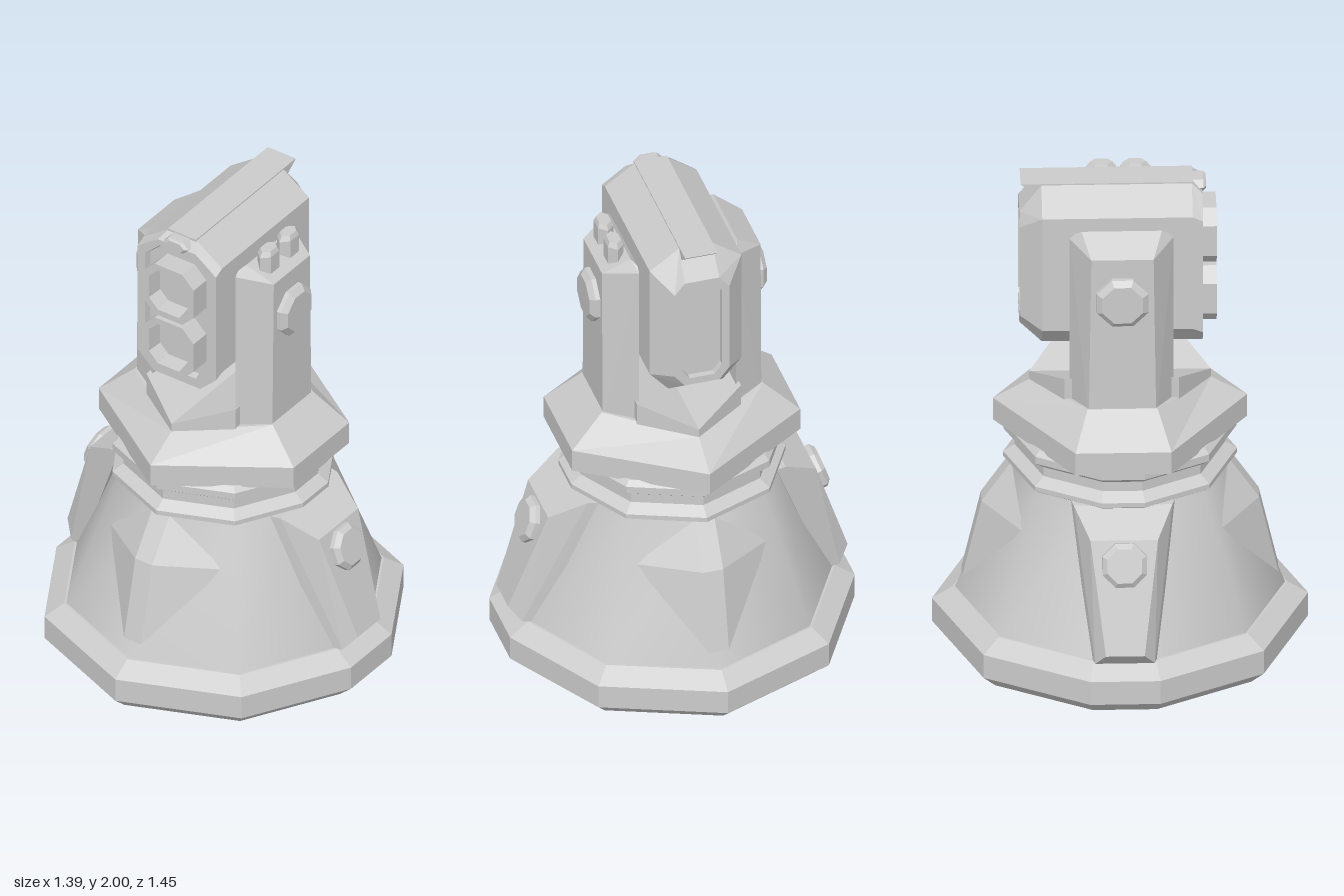
import * as THREE from 'three';
import { toCreasedNormals } from 'three/addons/utils/BufferGeometryUtils.js';
import { ConvexGeometry } from 'three/addons/geometries/ConvexGeometry.js';

const flat = new THREE.MeshStandardMaterial({ color: 0xcccccc, flatShading: true });
const smooth = new THREE.MeshStandardMaterial({ color: 0xcccccc });

// Closed loft through rings of equal point count; faces are turned outwards by signed volume
function loft(rings) {
  const tris = [];
  const n = rings[0].length;
  for (let i = 0; i < rings.length - 1; i++) {
    for (let j = 0; j < n; j++) {
      const k = (j + 1) % n;
      const [a, b, c, d] = [rings[i][j], rings[i][k], rings[i + 1][k], rings[i + 1][j]];
      tris.push([a, b, c], [a, c, d]);
    }
  }
  const last = rings[rings.length - 1];
  for (let j = 1; j < n - 1; j++) {
    tris.push([rings[0][0], rings[0][j + 1], rings[0][j]], [last[0], last[j], last[j + 1]]);
  }
  const v = (p) => new THREE.Vector3(...p);
  const volume = tris.reduce((s, [a, b, c]) => s + v(a).dot(v(b).cross(v(c))), 0);
  if (volume < 0) tris.forEach((t) => t.reverse());
  const geo = new THREE.BufferGeometry();
  geo.setAttribute('position', new THREE.Float32BufferAttribute(tris.flat(2), 3));
  geo.computeVertexNormals();
  return geo;
}

const hull = (pts) => new ConvexGeometry(pts.map((p) => new THREE.Vector3(...p)));
// Points given for +z, repeated at -z
const bothZ = (pts) => pts.flatMap(([x, y, z]) => [[x, y, z], [x, y, -z]]);

// Ten-sided plan shared by plinth, body and collar
const plan = [[0, 0.725], [0.465, 0.54], [0.695, 0.135], [0.695, -0.135], [0.465, -0.54],
  [0, -0.725], [-0.465, -0.54], [-0.695, -0.135], [-0.695, 0.135], [-0.465, 0.54]];
const planRing = (y, s) => plan.map(([x, z]) => [x * s, y, z * s]);

// Regular ring around y
const ring = (n, r, y) => Array.from({ length: n }, (_, i) => {
  const a = ((i + 0.5) / n) * Math.PI * 2;
  return [r * Math.cos(a), y, r * Math.sin(a)];
});

// Eight-cornered section in the xy plane: half width, top and bottom half widths, corner height
const oct = (hx, tx, bx, y0, y1, cy, z) => [
  [bx, y0, z], [hx, y0 + cy, z], [hx, y1 - cy, z], [tx, y1, z],
  [-tx, y1, z], [-hx, y1 - cy, z], [-hx, y0 + cy, z], [-bx, y0, z]];

// Bevelled round boss along +y
const boss = (r, h) => loft([ring(8, r, -0.04), ring(8, r, h * 0.5), ring(8, r * 0.78, h)]);

export function createModel() {
  const model = new THREE.Group();
  const add = (name, geo, parent = model, mat = flat) => {
    const mesh = new THREE.Mesh(geo, mat);
    mesh.name = name;
    parent.add(mesh);
    return mesh;
  };

  // Plinth and tapering body
  add('plinth', loft([planRing(0, 0.915), planRing(0.055, 1), planRing(0.155, 1), planRing(0.205, 0.89)]));
  add('body', toCreasedNormals(loft([planRing(0.19, 0.885), planRing(0.77, 0.58)]), 0.75), model, smooth);

  // Ridges on front and back
  for (const s of [1, -1]) {
    const pts = [0.04, -0.04].flatMap((x) => [[x, 0.77, 0.42], [x, 0.6, 0.535], [x, 0.27, 0.61]]);
    pts.push([0.27, 0.585, 0.38], [-0.27, 0.585, 0.38], [0, 0.55, 0.3]);
    add(s > 0 ? 'frontRidge' : 'backRidge', hull(pts)).rotation.y = s > 0 ? 0 : Math.PI;
  }

  // Grooved collar
  add('collar', loft([[0.765, 0.6], [0.775, 0.622], [0.795, 0.622], [0.825, 0.56], [0.865, 0.56],
    [0.895, 0.62], [0.925, 0.62], [0.945, 0.59]].map(([y, s]) => planRing(y, s))));

  // Six-sided turntable
  const hex = (y, x, z, zs, yz = y) => [[0, yz, z], [x, y, zs], [x, y, -zs], [0, yz, -z], [-x, y, -zs], [-x, y, zs]];
  add('turntable', loft([hex(0.935, 0.46, 0.49, 0.185), hex(1.03, 0.46, 0.49, 0.185),
    hex(1.15, 0.325, 0.35, 0.135, 1.11)]));

  // Parts repeated on both sides, turned half round for the right
  for (const s of [1, -1]) {
    const side = new THREE.Group();
    side.name = s > 0 ? 'leftSide' : 'rightSide';
    side.rotation.y = s > 0 ? 0 : Math.PI;
    model.add(side);

    add('sidePlate', hull(bothZ([
      [0.64, 0.205, 0.115], [0.685, 0.26, 0.075], [0.575, 0.585, 0.11], [0.54, 0.69, 0.13], [0.4, 0.77, 0.19],
      [0.58, 0.205, 0.13], [0.46, 0.57, 0.17], [0.36, 0.77, 0.2]])), side);
    const plateBoss = add('plateBoss', boss(0.093, 0.035), side);
    plateBoss.position.set(0.572, 0.6, 0);
    plateBoss.rotation.z = -Math.atan2(0.43, 0.145);

    // Sloping half of the saddle between the arms
    add('saddle', loft([[0, 1.145, 0.35], [0.21, 1.222, 0.22]].map(([x, y, z]) =>
      [[x, 1.09, z], [x, y, z], [x, y, -z], [x, 1.09, -z]])), side);

    // Yoke arm with pivot bosses
    add('yokeArm', hull(bothZ([
      [0.195, 1.1, 0.2], [0.32, 1.1, 0.13], [0.195, 1.83, 0.2], [0.195, 1.85, 0.18],
      [0.215, 1.87, 0.155], [0.32, 1.8, 0.12]])), side);
    const pivot = add('pivotBoss', boss(0.108, 0.04), side);
    pivot.position.set(0.318, 1.62, 0);
    pivot.rotation.z = -Math.PI / 2;
    const axle = add('axle', boss(0.105, 0.03), side);
    axle.position.set(0.18, 1.62, 0);
    axle.rotation.z = -Math.PI / 2;
  }

  // Pair of small posts on the left arm
  for (const z of [0.065, -0.065]) {
    const post = add('armPost', loft([ring(6, 1, 1.78), ring(6, 1, 1.9), ring(6, 0.75, 1.92)]));
    post.scale.set(0.036, 1, 0.058);
    post.rotation.y = 0;
    post.position.set(0.256, 0, z);
  }

  // Head with recessed rear panel and recessed front face
  add('head', loft([
    oct(0.08, 0.05, 0.05, 1.43, 1.86, 0.04, -0.365),
    oct(0.08, 0.05, 0.05, 1.43, 1.86, 0.04, -0.39),
    oct(0.11, 0.07, 0.07, 1.4, 1.885, 0.05, -0.39),
    oct(0.185, 0.065, 0.11, 1.335, 1.995, 0.085, -0.305),
    oct(0.185, 0.065, 0.11, 1.335, 1.995, 0.085, 0.275),
    oct(0.185, 0.09, 0.11, 1.335, 1.96, 0.07, 0.315),
    oct(0.15, 0.08, 0.09, 1.375, 1.935, 0.065, 0.315),
    oct(0.145, 0.075, 0.085, 1.38, 1.93, 0.065, 0.285)]));

  // Roof strip overhanging the rear
  const roof = [[0.28, 2], [-0.385, 2], [-0.305, 1.935], [0.28, 1.935]];
  add('roofStrip', loft([0.066, -0.066].map((x) => roof.map(([z, y]) => [x, y, z]))));

  // Two hollow lens housings
  for (const y of [1.768, 1.515]) {
    const lens = (r, z) => oct(r, r * 0.55, r * 0.55, y - r, y + r, r * 0.45, z);
    add('lensHousing', loft([lens(0.118, 0.26), lens(0.118, 0.37), lens(0.092, 0.37), lens(0.085, 0.305)]));
  }

  // Small sensor above the lenses
  const sensor = (s, z) => [[0.06, 0], [0.035, 0.024], [-0.035, 0.024], [-0.06, 0], [-0.035, -0.024], [0.035, -0.024]]
    .map(([x, y]) => [x * s, 1.97 + y * s, z]);
  add('sensor', loft([sensor(1, 0.26), sensor(1, 0.32), sensor(0.75, 0.33)]));

  return model;
}
